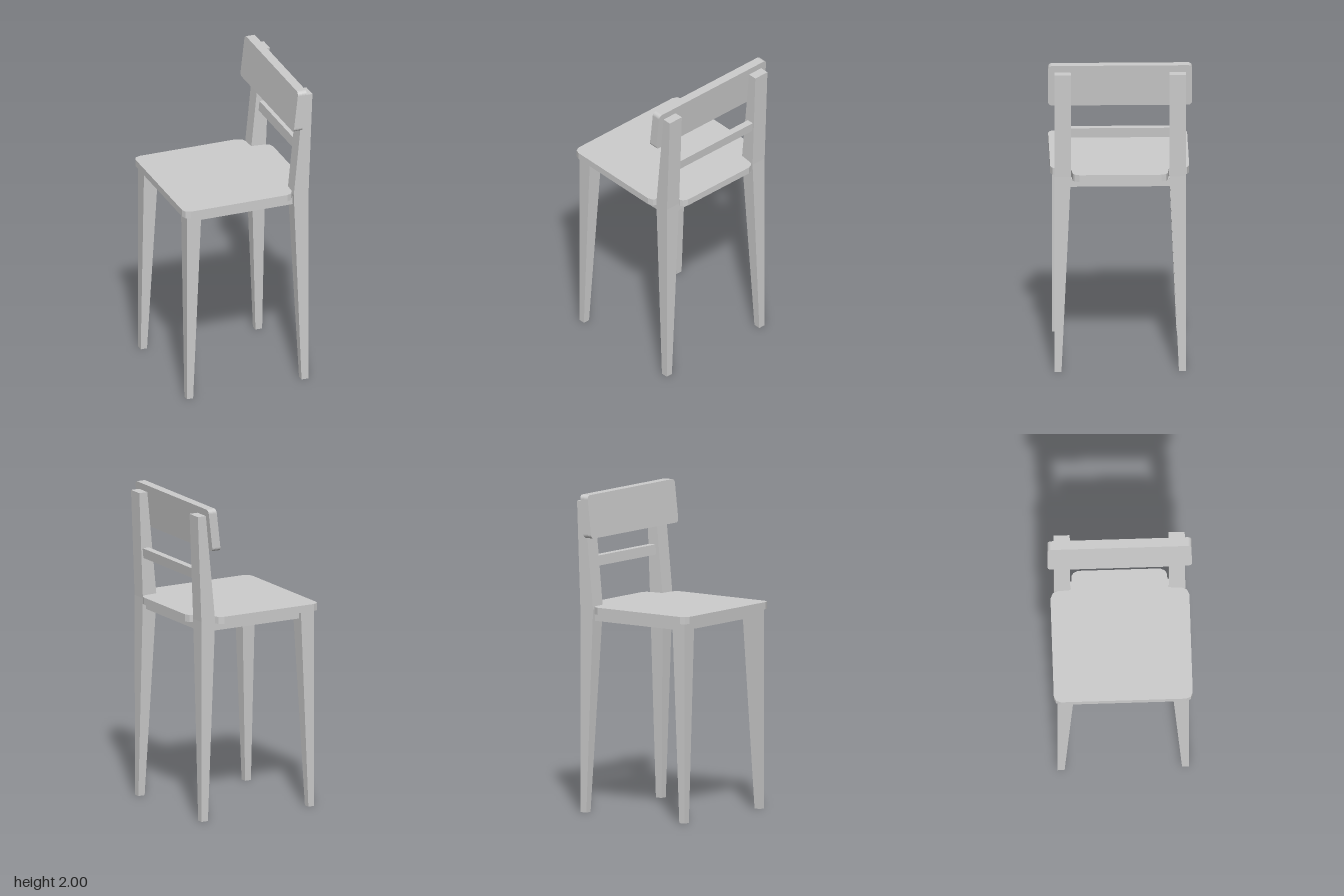
import * as THREE from 'three';

const material = new THREE.MeshStandardMaterial({ color: 0xcccccc, flatShading: true });

function add(group, name, geometry) {
  geometry.computeVertexNormals();
  const mesh = new THREE.Mesh(geometry, material);
  mesh.name = name;
  group.add(mesh);
  return mesh;
}

// Square bar through rectangular sections [y, x0, x1, z0, z1], lowest first
function taperedBar(sections) {
  const n = sections.length - 1;
  const geometry = new THREE.BoxGeometry(1, 1, 1, 1, n, 1);
  const p = geometry.attributes.position;
  for (let i = 0; i < p.count; i++) {
    const [y, x0, x1, z0, z1] = sections[Math.round((p.getY(i) + 0.5) * n)];
    p.setXYZ(i, p.getX(i) < 0 ? x0 : x1, y, p.getZ(i) < 0 ? z0 : z1);
  }
  return geometry;
}

// Mirror a half section in z for the other side of the chair
const onSide = (sections, side) => sections.map(([y, x0, x1, z0, z1]) =>
  side > 0 ? [y, x0, x1, z0, z1] : [y, x0, x1, -z1, -z0]);

function box(group, name, x0, x1, y0, y1, z0, z1) {
  add(group, name, taperedBar([[y0, x0, x1, z0, z1], [y1, x0, x1, z0, z1]]));
}

export function createModel() {
  const chair = new THREE.Group();
  chair.name = 'chair';

  // Seat board with clipped corners, notched around the rear posts
  const half = [
    [-0.435, 0.39], [-0.423, 0.42], [-0.393, 0.432],
    [0.252, 0.432], [0.286, 0.418], [0.3, 0.388], [0.305, 0.305],
    [0.4, 0.295], [0.417, 0.285], [0.431, 0.255],
  ];
  const outline = [...half, ...half.map(([x, z]) => [x, -z]).reverse()];
  const seatShape = new THREE.Shape(outline.map(([x, z]) => new THREE.Vector2(x, z)));
  const seat = new THREE.ExtrudeGeometry(seatShape, { depth: 0.045, bevelEnabled: false });
  seat.rotateX(-Math.PI / 2).translate(0, 1.255, 0);
  add(chair, 'seat', seat);

  // Front legs taper on their inner faces; rear posts run up and lean back
  const frontLeg = [
    [0, -0.41, -0.368, 0.365, 0.408],
    [1.255, -0.41, -0.314, 0.31, 0.408],
  ];
  const rearPost = [
    [0, 0.357, 0.402, 0.365, 0.408],
    [1.28, 0.305, 0.404, 0.307, 0.408],
    [1.955, 0.372, 0.43, 0.307, 0.408],
  ];
  for (const side of [1, -1]) {
    const word = side > 0 ? 'Left' : 'Right';
    add(chair, 'frontLeg' + word, taperedBar(onSide(frontLeg, side)));
    add(chair, 'rearPost' + word, taperedBar(onSide(rearPost, side)));
    // Side rail below the seat
    const z = side * 0.362;
    box(chair, 'sideRail' + word, -0.33, 0.33, 1.207, 1.257, z - 0.022, z + 0.022);
  }

  // Rails across the chair below the seat
  box(chair, 'frontRail', -0.384, -0.34, 1.207, 1.257, -0.33, 0.33);
  box(chair, 'rearRail', 0.335, 0.379, 1.207, 1.257, -0.33, 0.33);

  // Thin bar between the posts, leaning with them
  add(chair, 'crossbar', taperedBar([
    [1.537, 0.355, 0.4, -0.315, 0.315],
    [1.6, 0.361, 0.406, -0.315, 0.315],
  ]));

  // Backrest panel with rounded corners, sheared to the lean of the posts
  const w = 0.448, y0 = 1.73, y1 = 2, r = 0.025;
  const panel = new THREE.Shape();
  panel.moveTo(-w + r, y0);
  panel.lineTo(w - r, y0);
  panel.absarc(w - r, y0 + r, r, -Math.PI / 2, 0);
  panel.absarc(w - r, y1 - r, r, 0, Math.PI / 2);
  panel.absarc(-w + r, y1 - r, r, Math.PI / 2, Math.PI);
  panel.absarc(-w + r, y0 + r, r, Math.PI, Math.PI * 1.5);
  const back = new THREE.ExtrudeGeometry(panel, { depth: 0.058, bevelEnabled: false, curveSegments: 3 });
  back.rotateY(Math.PI / 2);
  const p = back.attributes.position;
  for (let i = 0; i < p.count; i++) {
    p.setX(i, p.getX(i) + 0.288 + (p.getY(i) - y0) * 0.115);
  }
  add(chair, 'backrest', back);

  return chair;
}
